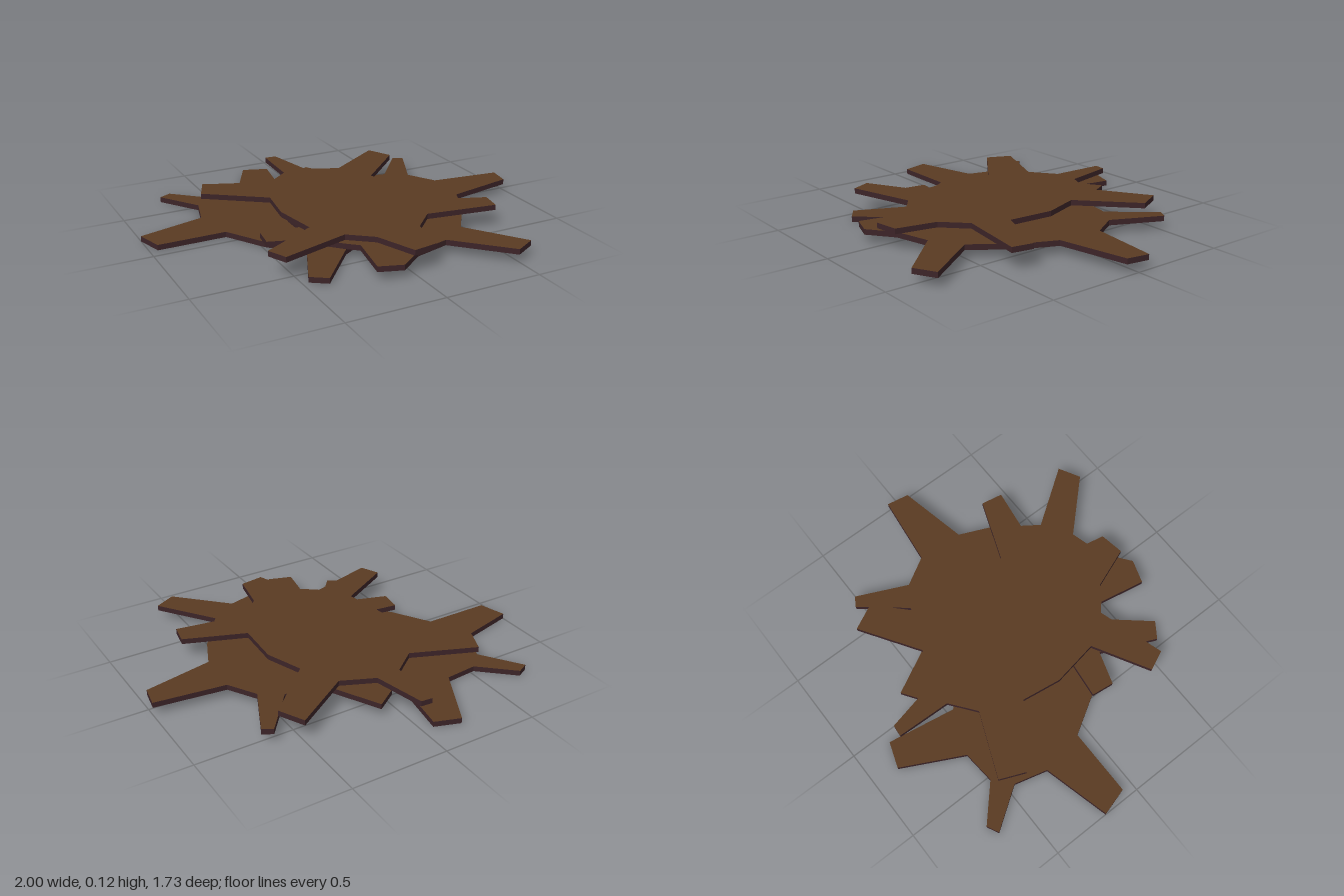
import * as THREE from 'three';

const THICKNESS = 0.028;

// Outlines as [x, z] corners: blunt spikes around an irregular hub
const lowerOutline = [
  [-1, -0.2], [-0.96, -0.06], [-0.61, -0.06], [-0.49, 0.14], [-0.34, 0.3],
  [-0.47, 0.59], [-0.39, 0.645], [-0.18, 0.4], [0, 0.29], [0.13, 0.47],
  [0.24, 0.4], [0.22, 0.02], [0.53, -0.09], [0.48, -0.19], [0.14, -0.12],
  [-0.12, -0.47], [-0.06, -0.82], [-0.19, -0.865], [-0.35, -0.555],
  [-0.52, -0.54], [-0.69, -0.695], [-0.75, -0.665], [-0.61, -0.46], [-0.655, -0.29],
];
const middleOutline = [
  [0.62, -0.54], [0.67, -0.51], [0.55, -0.25], [0.635, -0.105], [1, -0.06],
  [0.98, 0.055], [0.62, 0.13], [0.55, 0.29], [0.395, 0.51], [0.6, 0.8],
  [0.49, 0.86], [0.245, 0.61], [0.06, 0.66], [-0.07, 0.76], [-0.19, 0.72],
  [-0.145, 0.48], [-0.2, 0.43], [-0.32, 0.305], [-0.52, 0.24], [-0.505, 0.125],
  [-0.3, 0.15], [-0.3, 0], [-0.22, -0.25], [-0.09, -0.42], [-0.01, -0.555],
  [0.1, -0.63], [0.24, -0.36], [0.44, -0.32],
];
const upperOutline = [
  [-0.09, -0.765], [-0.03, -0.76], [0.03, -0.49], [0.2, -0.415], [0.5, -0.61],
  [0.565, -0.48], [0.3, -0.225], [0.37, -0.03], [0.355, 0.21], [0.67, 0.33],
  [0.65, 0.44], [0.28, 0.385], [0.165, 0.5], [0.125, 0.71], [0, 0.73],
  [-0.08, 0.52], [-0.2, 0.425], [-0.55, 0.53], [-0.595, 0.43], [-0.31, 0.27],
  [-0.35, 0.03], [-0.32, -0.175], [-0.615, -0.39], [-0.56, -0.52],
  [-0.23, -0.385], [-0.1, -0.485],
];

// Flat slab lying on the given height
function makeSlab(name, outline, y, materials) {
  const shape = new THREE.Shape(outline.map(([x, z]) => new THREE.Vector2(x, -z)));
  const geometry = new THREE.ExtrudeGeometry(shape, { depth: THICKNESS, bevelEnabled: false });
  geometry.rotateX(-Math.PI / 2);
  const mesh = new THREE.Mesh(geometry, materials);
  mesh.name = name;
  mesh.position.y = y;
  return mesh;
}

export function createModel() {
  const face = new THREE.MeshStandardMaterial({ color: 0x5a3b22 });
  face.name = 'brown face';
  const rim = new THREE.MeshStandardMaterial({ color: 0x3c2428 });
  rim.name = 'dark rim';

  const group = new THREE.Group();
  group.name = 'stackedSplats';
  const layers = [
    ['lowerSplat', lowerOutline],
    ['middleSplat', middleOutline],
    ['upperSplat', upperOutline],
  ];
  layers.forEach(([name, outline], i) => {
    group.add(makeSlab(name, outline, i * 0.045, [face, rim]));
  });
  return group;
}
